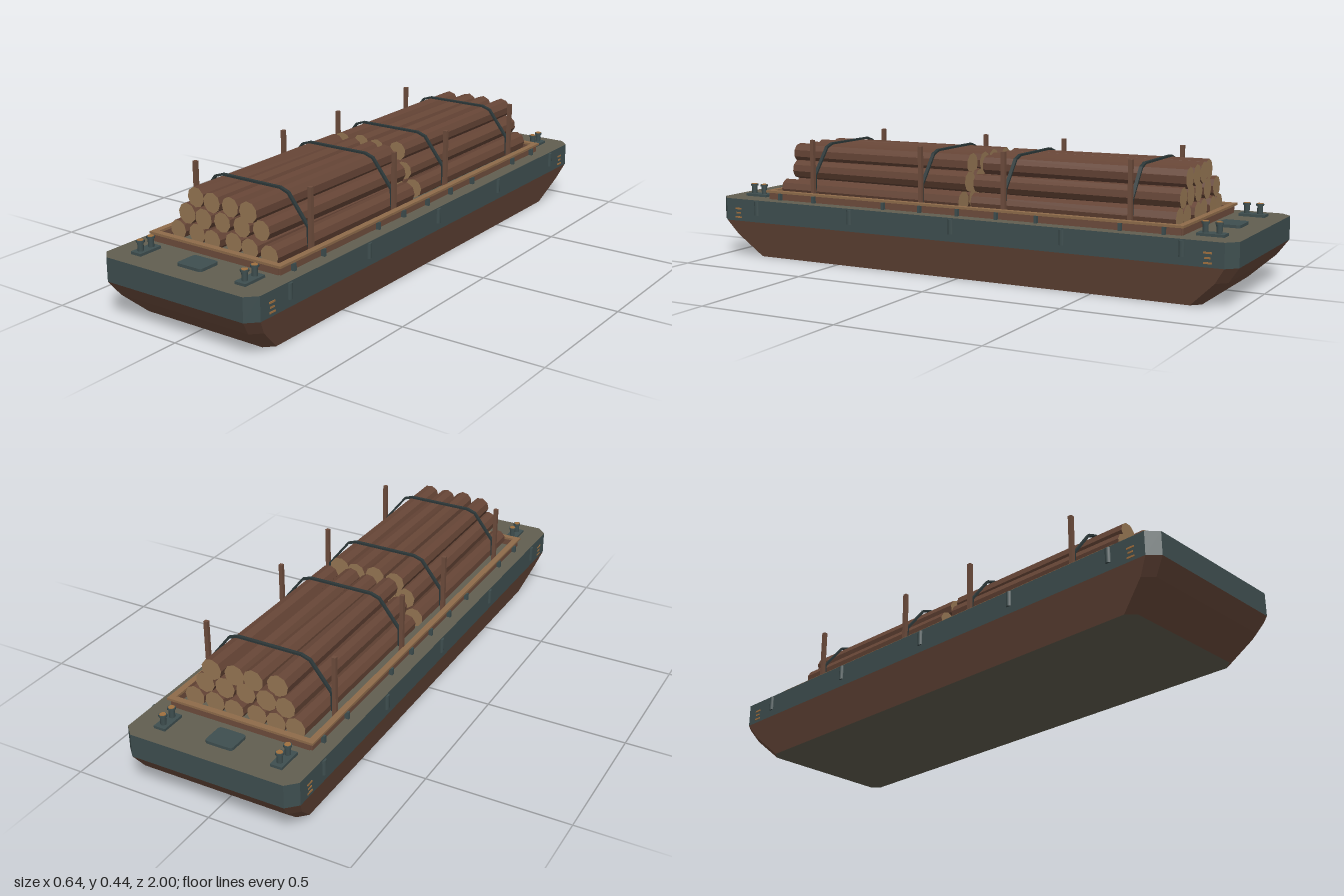
import * as THREE from 'three';

const mat = (name, color) => {
  const m = new THREE.MeshStandardMaterial({ color });
  m.name = name;
  return m;
};

// Chamfered rectangle at height y, running counter-clockwise seen from above
const ring = (hx, hz, c, y) => [
  [-hx + c, hz], [hx - c, hz], [hx, hz - c], [hx, -hz + c],
  [hx - c, -hz], [-hx + c, -hz], [-hx, -hz + c], [-hx, hz - c],
].map(([x, z]) => [x, y, z]);

const faceted = (tris) => {
  const g = new THREE.BufferGeometry();
  g.setAttribute('position', new THREE.Float32BufferAttribute(tris.flat(), 3));
  g.computeVertexNormals();
  return g;
};

const wall = (rings) => {
  const t = [];
  for (let r = 0; r < rings.length - 1; r++) {
    const a = rings[r], b = rings[r + 1];
    for (let i = 0; i < 8; i++) {
      const j = (i + 1) % 8;
      t.push(a[i], a[j], b[j], a[i], b[j], b[i]);
    }
  }
  return faceted(t);
};

const cap = (r, up) => {
  const t = [];
  for (let i = 1; i < 7; i++) t.push(r[0], ...(up ? [r[i], r[i + 1]] : [r[i + 1], r[i]]));
  return faceted(t);
};

export function createModel() {
  const root = new THREE.Group();
  root.name = 'logBarge';
  const hullBrown = mat('hull brown', 0x6b4a3b);
  const steel = mat('teal steel', 0x3e4e4f);
  const deckGrey = mat('deck olive grey', 0x615e50);
  const timber = mat('timber brown', 0x6d4c3c);
  const bark = mat('bark brown', 0x664536);
  const cutWood = mat('cut wood', 0x957653);
  const rimWood = mat('rim wood', 0x8e6b4a);
  const strapDark = mat('dark strap', 0x2c3738);
  const rust = mat('rust orange', 0xa0703f);

  const add = (name, geo, m, x = 0, y = 0, z = 0, parent = root) => {
    const mesh = new THREE.Mesh(geo, m);
    mesh.name = name;
    mesh.position.set(x, y, z);
    parent.add(mesh);
    return mesh;
  };
  const box = (name, w, h, d, m, x, y, z, parent) =>
    add(name, new THREE.BoxGeometry(w, h, d), m, x, y, z, parent);

  // Hull: raked lower body, upright steel band, deck and bottom
  const keel = ring(0.267, 0.87, 0.03, 0);
  const bilge = ring(0.295, 0.962, 0.033, 0.083);
  const knuckle = ring(0.313, 1, 0.036, 0.136);
  const gunwale = ring(0.313, 1, 0.036, 0.218);
  add('lowerHull', wall([keel, bilge, knuckle]), hullBrown);
  add('hullBand', wall([knuckle, gunwale]), steel);
  add('deck', cap(gunwale, true), deckGrey);
  add('hullBottom', cap(keel, false), deckGrey);

  // Cargo coaming with a pale rim on top
  for (const s of [1, -1]) {
    box('coamingSide', 0.012, 0.026, 1.61, timber, s * 0.256, 0.231, 0);
    box('coamingEnd', 0.51, 0.026, 0.012, timber, 0, 0.231, s * 0.803);
    box('rimSide', 0.022, 0.008, 1.63, rimWood, s * 0.258, 0.247, 0);
    box('rimEnd', 0.5, 0.008, 0.022, rimWood, 0, 0.247, s * 0.804);
    // Coaming braces
    for (const z of [-0.75, -0.6, -0.3, -0.15, 0, 0.15, 0.3, 0.6, 0.75])
      box('coamingBrace', 0.014, 0.025, 0.01, steel, s * 0.269, 0.2305, z);
    // Fenders
    for (const z of [-0.825, -0.415, 0, 0.415, 0.825])
      add('fender', new THREE.CylinderGeometry(0.011, 0.011, 0.052, 8), steel, s * 0.31, 0.188, z);
    // Draft marks
    for (const z of [-0.91, 0.91])
      for (let i = 0; i < 3; i++)
        box('draftMark', 0.003, 0.006, i === 1 ? 0.02 : 0.028, rust, s * 0.3135, 0.15 + i * 0.016, z);
  }

  // Deck hatches with rounded corners
  const hatch = new THREE.Shape();
  const hw = 0.05, hd = 0.042, hr = 0.012;
  hatch.moveTo(-hw + hr, -hd);
  hatch.lineTo(hw - hr, -hd).quadraticCurveTo(hw, -hd, hw, -hd + hr);
  hatch.lineTo(hw, hd - hr).quadraticCurveTo(hw, hd, hw - hr, hd);
  hatch.lineTo(-hw + hr, hd).quadraticCurveTo(-hw, hd, -hw, hd - hr);
  hatch.lineTo(-hw, -hd + hr).quadraticCurveTo(-hw, -hd, -hw + hr, -hd);
  const hatchGeo = new THREE.ExtrudeGeometry(hatch, { depth: 0.01, bevelEnabled: false, curveSegments: 3 });
  hatchGeo.rotateX(-Math.PI / 2);

  // Twin mooring posts
  const bollard = (x, z) => {
    const g = new THREE.Group();
    g.name = 'bollard';
    g.position.set(x, 0.218, z);
    box('bollardBase', 0.042, 0.009, 0.092, steel, 0, 0.0045, 0, g);
    for (const s of [1, -1]) {
      add('bollardPost', new THREE.CylinderGeometry(0.01, 0.01, 0.036, 8), steel, 0, 0.02, s * 0.023, g);
      add('bollardCap', new THREE.CylinderGeometry(0.014, 0.014, 0.007, 8), steel, 0, 0.041, s * 0.023, g);
      add('bollardTop', new THREE.CylinderGeometry(0.011, 0.011, 0.002, 8), rust, 0, 0.045, s * 0.023, g);
    }
    root.add(g);
  };
  for (const s of [1, -1]) {
    add('deckHatch', hatchGeo, steel, 0, 0.218, s * 0.885);
    for (const x of [-0.213, 0.213]) bollard(x, s * 0.89);
  }

  // Stakes and lashing straps
  const strapPath = [
    [-0.229, 0.25], [-0.227, 0.312], [-0.15, 0.41], [-0.118, 0.421],
    [0.118, 0.421], [0.15, 0.41], [0.227, 0.312], [0.229, 0.25],
  ];
  for (const z of [-0.622, -0.163, 0.163, 0.622]) {
    for (const s of [1, -1]) box('stake', 0.014, 0.227, 0.014, timber, s * 0.237, 0.3315, z);
    const strap = new THREE.Group();
    strap.name = 'strap';
    for (let i = 0; i < strapPath.length - 1; i++) {
      const [x0, y0] = strapPath[i], [x1, y1] = strapPath[i + 1];
      const part = box('strapSection', Math.hypot(x1 - x0, y1 - y0) + 0.003, 0.007, 0.012,
        strapDark, (x0 + x1) / 2, (y0 + y1) / 2, z, strap);
      part.rotation.z = Math.atan2(y1 - y0, x1 - x0);
    }
    root.add(strap);
  }

  // Two bundles of slightly uneven logs stacked 6-5-4
  let seed = 11;
  const rand = () => (seed = (seed * 16807) % 2147483647) / 2147483647 - 0.5;
  for (const zc of [0.392, -0.4]) {
    const bundle = new THREE.Group();
    bundle.name = 'logBundle';
    [[6, 0.257], [5, 0.321], [4, 0.38]].forEach(([n, y]) => {
      for (let i = 0; i < n; i++) {
        const r = 0.035 + rand() * 0.003;
        let geo = new THREE.CylinderGeometry(r - 0.001, r + 0.002, 0.745 + rand() * 0.02, 9);
        geo.rotateY(rand() * 3);
        geo.rotateX(Math.PI / 2);
        geo = geo.toNonIndexed();
        geo.computeVertexNormals();
        const log = add('log', geo, [bark, cutWood, cutWood],
          (i - (n - 1) / 2) * 0.0755 + rand() * 0.006, y + rand() * 0.003, zc + rand() * 0.018, bundle);
        log.rotation.y = rand() * 0.016;
      }
    });
    root.add(bundle);
  }
  return root;
}
